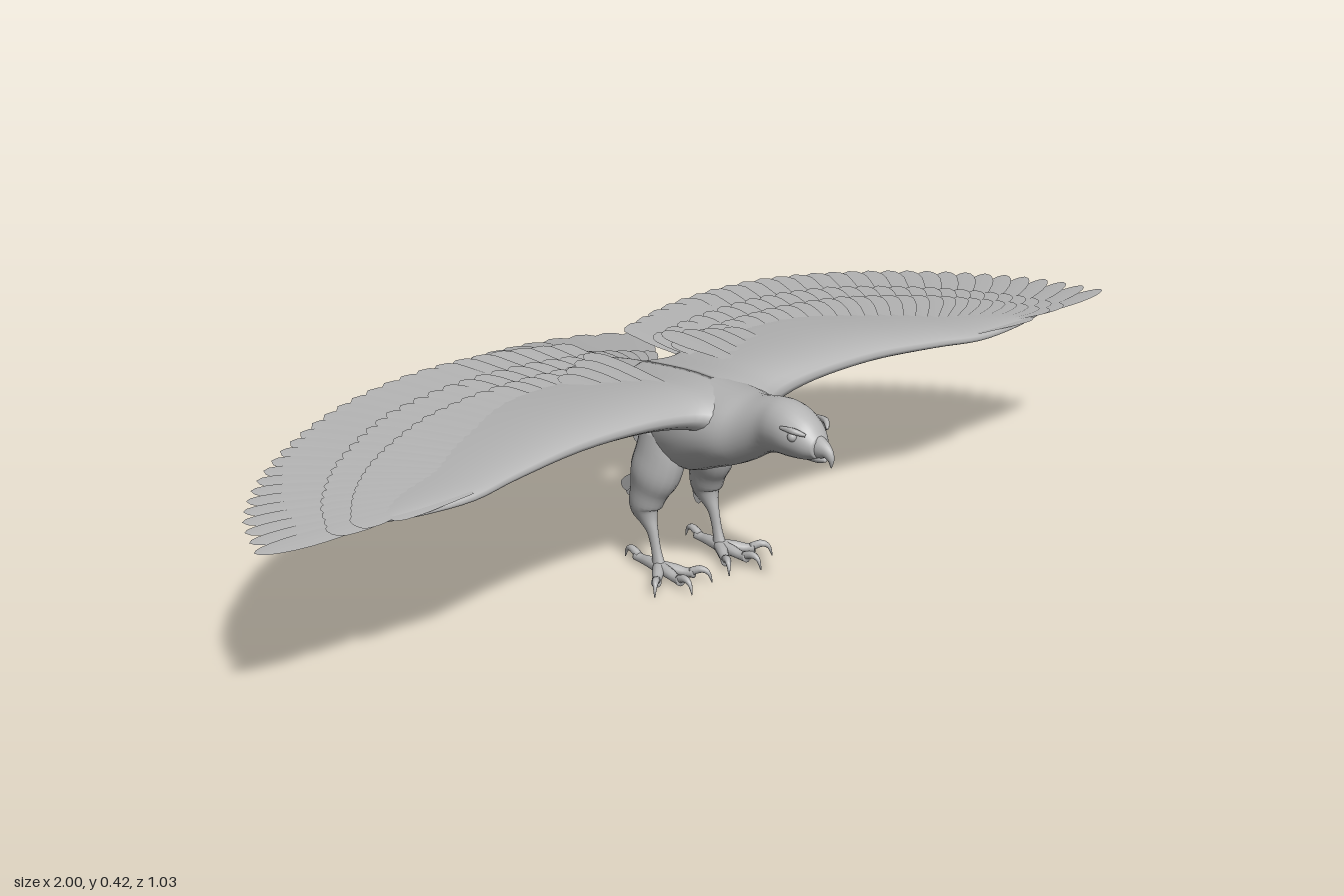
import * as THREE from 'three';
import { mergeGeometries } from 'three/addons/utils/BufferGeometryUtils.js';

const V = (x, y, z) => new THREE.Vector3(x, y, z);
const lerp = THREE.MathUtils.lerp;

// Smoothly resample a table of rows (Catmull-Rom on every column)
function resample(rows, count) {
  const cr = (a, b, c, d, t) => 0.5 * (2 * b + (c - a) * t + (2 * a - 5 * b + 4 * c - d) * t * t + (3 * b - a - 3 * c + d) * t ** 3);
  const at = i => rows[Math.max(0, Math.min(rows.length - 1, i))];
  return Array.from({ length: count + 1 }, (_, n) => {
    const f = n / count * (rows.length - 1), i = Math.min(Math.floor(f), rows.length - 2);
    return rows[0].map((_, k) => cr(at(i - 1)[k], at(i)[k], at(i + 1)[k], at(i + 2)[k], f - i));
  });
}

// Closed skin through rings of points, wound so that it faces outwards
function skin(rings) {
  const n = rings[0].length, pts = rings.flat(), idx = [];
  for (let r = 0; r < rings.length - 1; r++) for (let k = 0; k < n; k++) {
    const a = r * n + k, b = r * n + (k + 1) % n;
    idx.push(a, b, a + n, b, b + n, a + n);
  }
  [rings[0], rings[rings.length - 1]].forEach((ring, e) => {
    const c = pts.length, o = e ? (rings.length - 1) * n : 0;
    pts.push(ring.reduce((s, p) => s.add(p), V(0, 0, 0)).divideScalar(n));
    for (let k = 0; k < n; k++) {
      const a = o + k, b = o + (k + 1) % n;
      idx.push(c, e ? a : b, e ? b : a);
    }
  });
  const mid = pts[0], cross = V(0, 0, 0);
  let volume = 0;
  for (let i = 0; i < idx.length; i += 3) {
    const [a, b, c] = [0, 1, 2].map(j => pts[idx[i + j]].clone().sub(mid));
    volume += a.dot(cross.crossVectors(b, c));
  }
  if (volume < 0) idx.reverse();
  const g = new THREE.BufferGeometry().setFromPoints(pts);
  g.setIndex(idx);
  g.computeVertexNormals();
  return g;
}

// Tapered tube through rows of [x, y, z, radius]; sx flattens it sideways
function limb(rows, { steps = 18, sides = 14, sx = 1 } = {}) {
  const path = resample(rows, steps);
  const rings = path.map(([x, y, z, r], i) => {
    const p = path[Math.max(0, i - 1)], q = path[Math.min(steps, i + 1)];
    const t = V(q[0] - p[0], q[1] - p[1], q[2] - p[2]).normalize();
    const u = V(1, 0, 0).addScaledVector(t, -t.x).normalize(), v = t.clone().cross(u);
    return Array.from({ length: sides }, (_, k) => {
      const a = k / sides * Math.PI * 2;
      return V(x, y, z).addScaledVector(u, Math.cos(a) * r * sx).addScaledVector(v, Math.sin(a) * r);
    });
  });
  return skin(rings);
}

// Cupped feather blade from base to tip with a rounded end
function feather(base, tip, width, up = V(0, 1, 0), point = 0.2) {
  const d = tip.clone().sub(base), side = d.clone().normalize().cross(up).normalize();
  const n = side.clone().cross(d).normalize(), pts = [], idx = [], rows = 10;
  for (let i = 0; i <= rows; i++) {
    const t = 1 - (1 - i / rows) ** 1.6, e = Math.max(0, (t - 1 + point) / point);
    const half = width / 2 * Math.min(1, 0.4 + t) * Math.sqrt(Math.max(0, 1 - e * e));
    for (const s of [-1, 0, 1]) {
      pts.push(base.clone().addScaledVector(d, t).addScaledVector(side, s * half)
        .addScaledVector(n, s * half * 0.08 - Math.abs(s) * half * 0.06));
    }
    if (i) for (const k of [0, 1]) {
      const a = (i - 1) * 3 + k;
      idx.push(a, a + 1, a + 3, a + 1, a + 4, a + 3);
    }
  }
  const g = new THREE.BufferGeometry().setFromPoints(pts);
  g.setIndex(idx);
  g.computeVertexNormals();
  return g;
}

export function createModel() {
  const model = new THREE.Group();
  const grey = new THREE.MeshStandardMaterial({ name: 'plumageGrey', color: 0xb4b4b4, side: THREE.DoubleSide });
  const add = (name, geo) => {
    const m = new THREE.Mesh(Array.isArray(geo) ? mergeGeometries(geo) : geo, grey);
    m.name = name;
    model.add(m);
    return m;
  };

  // Head and body: z, top, bottom, half width
  const body = resample([
    [0.478, 0.374, 0.338, 0.02], [0.455, 0.398, 0.328, 0.035], [0.42, 0.415, 0.322, 0.046],
    [0.385, 0.42, 0.318, 0.048], [0.35, 0.415, 0.306, 0.047], [0.31, 0.405, 0.28, 0.06],
    [0.27, 0.402, 0.258, 0.083], [0.22, 0.4, 0.236, 0.094], [0.17, 0.398, 0.214, 0.095],
    [0.11, 0.39, 0.207, 0.088], [0.05, 0.38, 0.222, 0.073], [-0.01, 0.37, 0.252, 0.056],
    [-0.08, 0.357, 0.285, 0.04], [-0.13, 0.345, 0.305, 0.024], [-0.165, 0.335, 0.325, 0.004]], 56);
  add('body', skin(body.map(([z, t, b, w]) => Array.from({ length: 28 }, (_, k) => {
    const a = k / 28 * Math.PI * 2;
    return V(Math.cos(a) * w, (t + b) / 2 + Math.sin(a) * (t - b) / 2, z);
  }))));

  // Hooked beak
  add('upperBeak', limb([[0, 0.357, 0.455, 0.025], [0, 0.357, 0.478, 0.02], [0, 0.354, 0.495, 0.013],
    [0, 0.343, 0.505, 0.007], [0, 0.328, 0.506, 0.001]], { sx: 0.8 }));
  add('lowerBeak', limb([[0, 0.338, 0.45, 0.013], [0, 0.336, 0.472, 0.009], [0, 0.337, 0.492, 0.003]]));

  // Tail fan
  const tail = [];
  const tailTips = new THREE.CatmullRomCurve3([V(0, 0.24, -0.518), V(0.085, 0.242, -0.506),
    V(0.18, 0.252, -0.458), V(0.262, 0.266, -0.372)]);
  for (let i = 0; i < 7; i++) for (const s of i ? [1, -1] : [1]) {
    const tip = tailTips.getPoint(i / 6);
    tail.push(feather(V(tip.x * 0.22 * s, 0.333 - i * 0.003, -0.07), V(tip.x * s, tip.y, tip.z), 0.066, V(0, 1, 0), 0.12));
    tail.push(feather(V(tip.x * 0.18 * s, 0.345 - i * 0.003, -0.06),
      V(tip.x * 0.6 * s, 0.312 - i * 0.002, -0.2 - 0.08 * (1 - i / 6)), 0.045));
  }
  add('tailFeathers', tail);

  for (const s of [1, -1]) {
    const side = s > 0 ? 'left' : 'right';

    // Eye and brow
    const eye = add(side + 'Eye', new THREE.SphereGeometry(0.009, 14, 10));
    eye.position.set(0.036 * s, 0.376, 0.443);
    add(side + 'Brow', limb([[0.026 * s, 0.383, 0.466, 0.003], [0.039 * s, 0.389, 0.447, 0.006],
      [0.043 * s, 0.388, 0.42, 0.003]], { steps: 8, sides: 8 }));

    // Fleshy wing arm: x, leading z, trailing z, top, bottom
    const arm = resample([[0, 0.3, -0.02, 0.4, 0.29], [0.05, 0.285, 0.0, 0.4, 0.3], [0.1, 0.258, 0.0, 0.402, 0.322],
      [0.2, 0.25, 0.0, 0.404, 0.343], [0.35, 0.252, 0.01, 0.402, 0.35], [0.5, 0.267, 0.045, 0.388, 0.347],
      [0.6, 0.282, 0.09, 0.377, 0.344], [0.7, 0.275, 0.15, 0.37, 0.348], [0.78, 0.26, 0.21, 0.363, 0.357]], 32);
    add(side + 'WingArm', skin(arm.map(([x, l, r, t, b]) => Array.from({ length: 24 }, (_, k) => {
      const a = k / 24 * Math.PI * 2, c = Math.cos(a), back = (1 - c) / 2;
      const y = (t + b) / 2 + Math.sin(a) * (t - b) / 2 * (0.6 + 0.4 * c) * 1.2;
      return V(x * s, y + back * (t - b) * 0.22, (l + r) / 2 + c * (l - r) / 2);
    }))));

    // Flight feathers and two rows of coverts over them
    const tips = new THREE.CatmullRomCurve3([V(0.095, 0.38, -0.172), V(0.22, 0.385, -0.203), V(0.4, 0.385, -0.21),
      V(0.56, 0.377, -0.182), V(0.71, 0.37, -0.112), V(0.85, 0.364, -0.005), V(0.95, 0.361, 0.115), V(0.998, 0.36, 0.232)]);
    const roots = new THREE.CatmullRomCurve3([V(0.09, 0.375, 0.1), V(0.35, 0.378, 0.12), V(0.58, 0.368, 0.17), V(0.72, 0.361, 0.25)]);
    const flight = [], coverts = [];
    const count = 28;
    for (let i = 0; i < count; i++) {
      const u = i / (count - 1), outer = Math.max(0, (u - 0.45) / 0.55);
      const tip = tips.getSpacedPoints(count - 1)[i], root = roots.getPoint(u);
      const lift = (dy, f) => {
        const p = root.clone().lerp(tip, f);
        return V(p.x * s, p.y + dy, p.z);
      };
      flight.push(feather(lift(0, 0), lift(0, 1), lerp(0.062, 0.047, outer), V(0, 1, 0), lerp(0.1, 0.35, outer)));
      [[0.7, 0.006], [0.48, 0.011]].forEach(([f, dy]) =>
        coverts.push(feather(lift(dy * (1 - outer * 0.6), 0), lift(dy * (1 - outer * 0.6), f * lerp(1, 0.75, outer)), 0.05)));
    }
    add(side + 'FlightFeathers', flight);
    add(side + 'WingCoverts', coverts);

    // Shoulder feathers and the alula at the wrist
    const shoulder = [0, 1, 2, 3].map(i => feather(V((0.09 + i * 0.03) * s, 0.4, 0.16),
      V((0.095 + i * 0.035) * s, 0.394, -0.07 + i * 0.02), 0.045));
    shoulder.push(feather(V(0.6 * s, 0.37, 0.272), V(0.76 * s, 0.363, 0.265), 0.03));
    add(side + 'ShoulderFeathers', shoulder);

    // Feathered thigh running into the bare shank
    add(side + 'Leg', limb([[0.052, 0.29, 0.11, 0.05], [0.058, 0.24, 0.108, 0.055], [0.066, 0.2, 0.1, 0.054],
      [0.071, 0.165, 0.09, 0.042], [0.075, 0.13, 0.083, 0.035], [0.075, 0.108, 0.092, 0.022], [0.075, 0.085, 0.105, 0.013],
      [0.075, 0.05, 0.116, 0.011], [0.075, 0.018, 0.125, 0.015]].map(([x, ...r]) => [x * s, ...r]), { steps: 32, sides: 18, sx: 0.75 }));

    // Ragged feathers behind the thigh and under the tail
    const tufts = [];
    for (let i = 0; i < 6; i++) {
      tufts.push(feather(V((0.06 + i * 0.005) * s, 0.19, 0.065), V((0.062 + i * 0.005) * s, 0.092 + i * 0.012, 0.075 - i * 0.009),
        0.024, V(s, 0, 0)));
      tufts.push(feather(V(0.045 * s, 0.26 + i * 0.008, 0.08), V((0.052 - i * 0.003) * s, 0.233 + i * 0.011, 0.04 - i * 0.026),
        0.03, V(s, 0.3, 0)));
    }
    add(side + 'LegFeathers', tufts);

    // Toes with curved talons
    const toes = [], foot = V(0.075, 0.018, 0.125);
    for (const [dx, dz] of [[-0.045, 0.075], [0.008, 0.09], [0.058, 0.06], [0.0, -0.085]]) {
      const at = (f, y, r) => [(foot.x + dx * f) * s, y, foot.z + dz * f, r];
      toes.push(limb([at(0, 0.018, 0.013), at(0.35, 0.018, 0.011), at(0.6, 0.016, 0.009), at(0.8, 0.017, 0.01)], { steps: 10, sides: 10 }));
      toes.push(limb([at(0.72, 0.019, 0.008), at(0.95, 0.027, 0.007), at(1.12, 0.021, 0.004), at(1.2, 0.003, 0.001)], { steps: 10, sides: 10 }));
    }
    add(side + 'Foot', toes);
  }
  return model;
}
